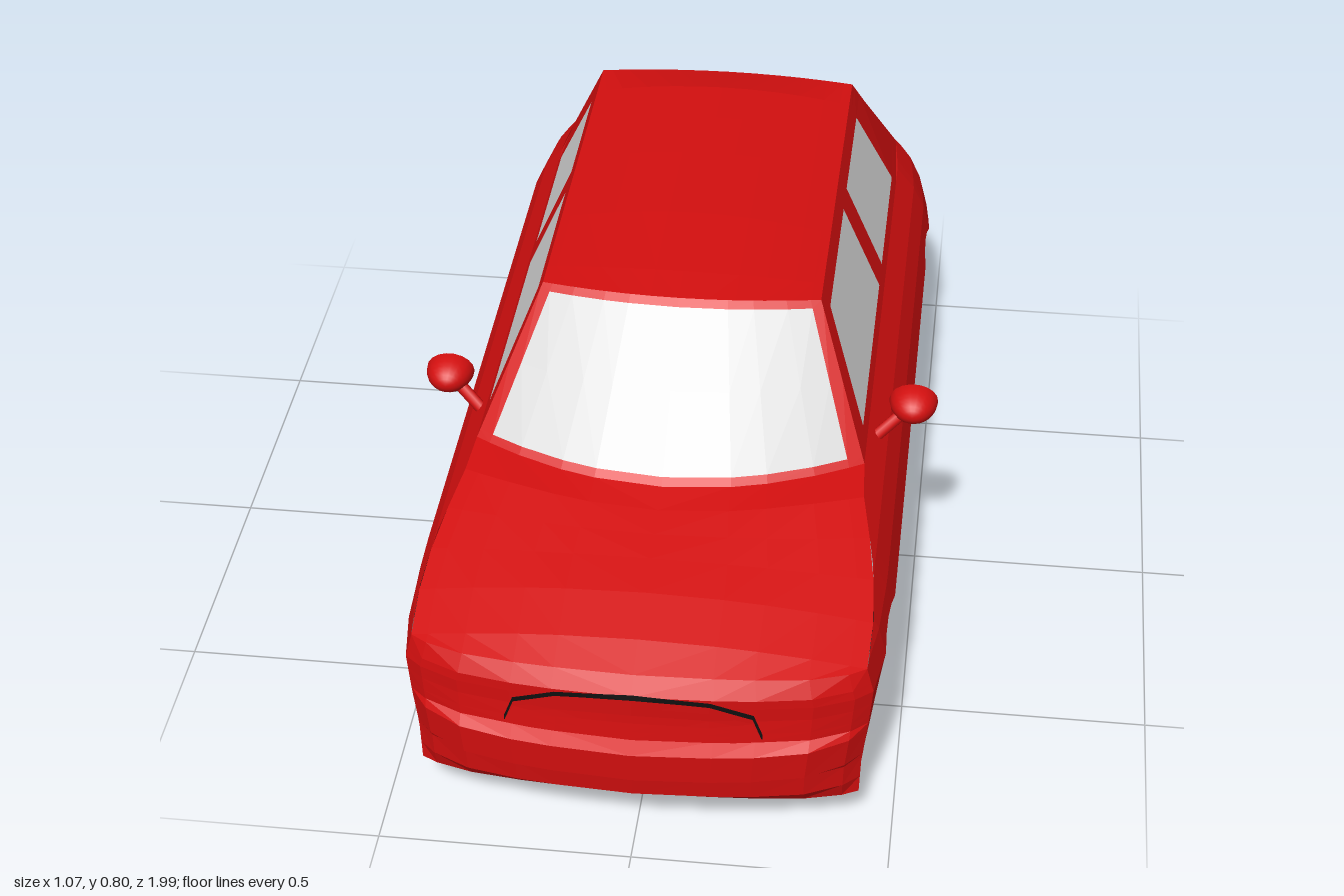
import * as THREE from 'three';

const paint = new THREE.MeshStandardMaterial({ color: 0xd40f0f, side: THREE.DoubleSide });
paint.name = 'red paint';
const grey = new THREE.MeshStandardMaterial({ color: 0xd8d8d8, side: THREE.DoubleSide });
grey.name = 'light grey';
const black = new THREE.MeshStandardMaterial({ color: 0x101010, side: THREE.DoubleSide });
black.name = 'black trim';

// Linear interpolation in a table of [key, value], keys ascending
function look(table, k) {
  if (k <= table[0][0]) return table[0][1];
  for (let i = 1; i < table.length; i++) {
    const [a, va] = table[i - 1], [b, vb] = table[i];
    if (k <= b) return va + (vb - va) * (k - a) / (b - a);
  }
  return table[table.length - 1][1];
}

// Body profiles: half width, nose and tail by height; narrowing along the length
const WIDTH = [[.1, .455], [.19, .458], [.27, .468], [.36, .476], [.42, .46], [.47, .435], [.52, .395]];
const NOSE = [[.1, .92], [.14, .965], [.19, .972], [.2, .992], [.265, .995], [.28, .962], [.33, .957], [.38, .958], [.42, .93]];
const TAIL = [[.18, -.96], [.2, -.975], [.3, -.995], [.345, -.945], [.5, -.957], [.52, -.945]];
const TAPER = [[-.9, .975], [-.8, 1], [.6, 1], [.75, .985], [.865, .95]];
const CREST = [[.36, .52], [.46, .512], [.66, .465], [.865, .415]];
const HOOD = [[.49, .525], [.757, .475], [.865, .445], [.93, .415]];
const FRONT = [[0, 1], [.33, .92], [.5, .84], [.72, .65], [.88, .3], [.95, 0]];
const REAR = [[.975, 0], [.965, .5], [.92, .95], [.5, 1], [0, 1]];
const LEVELS = [.1, .14, .19, .2, .265, .28, .3, .33, .345, .36, .38, .42, .47, .5, .52];

const nosePoint = (fx, g, y) => [look(WIDTH, y) * fx, y, .865 + (look(NOSE, y) - .865) * g];
const tailPoint = (fx, g, y) => [look(WIDTH, y) * fx, y, -.9 + (look(TAIL, y) + .9) * g];
const sidePoint = (z, y) => [look(WIDTH, y) * look(TAPER, z), y, z];

// Faceted skin through a grid of points, mirrored in x; pick(r, c) chooses cells
function skin(group, name, material, rows, pick = () => true, mirror = true) {
  const pos = [];
  const tri = (a, b, c) => {
    const [A, B, C] = [a, b, c].map(p => new THREE.Vector3(...p));
    if (B.clone().sub(A).cross(C.clone().sub(A)).length() < 1e-7) return;
    pos.push(...a, ...b, ...c);
    if (mirror) for (const p of [a, c, b]) pos.push(-p[0], p[1], p[2]);
  };
  for (let r = 0; r + 1 < rows.length; r++) {
    for (let c = 0; c + 1 < rows[r].length; c++) {
      if (!pick(r, c)) continue;
      const a = rows[r][c], b = rows[r][c + 1], d = rows[r + 1][c], e = rows[r + 1][c + 1];
      tri(a, b, e);
      tri(a, e, d);
    }
  }
  const geo = new THREE.BufferGeometry();
  geo.setAttribute('position', new THREE.Float32BufferAttribute(pos, 3));
  geo.computeVertexNormals();
  return add(group, name, geo, material);
}

function add(group, name, geo, material) {
  const mesh = new THREE.Mesh(geo, material);
  mesh.name = name;
  group.add(mesh);
  return mesh;
}

// Lower edge [z, y] running over a wheel arch, front to back
function arch(zc, r, y0, y1) {
  const pts = [[zc + r, y0]];
  for (let i = 0; i <= 14; i++) {
    const a = Math.PI * i / 14;
    pts.push([zc + r * Math.cos(a), .18 + .2 * Math.sin(a)]);
  }
  pts.push([zc - r, y1]);
  return pts;
}
const frontArch = arch(.6625, .2025, .105, .11);
const rearArch = arch(-.7075, .1925, .125, .2);

function buildLowerBody(g) {
  const columns = [
    ...FRONT.map(([fx, k]) => ({ at: y => nosePoint(fx, k, y), low: .12 - .02 * fx, top: .415 })),
    ...[...frontArch, [.36, .111], [-.1, .118], ...rearArch].map(([z, low]) =>
      ({ at: y => sidePoint(z, y), low, top: look(CREST, z) })),
    ...REAR.map(([fx, k]) => ({ at: y => tailPoint(fx, k, y), low: .2 - .02 * k, top: .52 })),
  ];
  const rows = LEVELS.map(l => columns.map(c => c.at(Math.min(Math.max(l, c.low), c.top))));
  skin(g, 'lowerBody', paint, rows);

  // Inner lips of the wheel arches
  for (const [name, edge, mat] of [['frontArchLining', frontArch, black], ['rearArchLining', rearArch, paint]]) {
    const outer = edge.map(([z, y]) => sidePoint(z, y).map((v, i) => i ? v : v - .002));
    skin(g, name, mat, [outer, outer.map(p => [.35, p[1], p[2]])]);
  }

  // Hood, bulging forward from the cowl, and its nose strip
  const section = z0 => FRONT.map(([fx]) => {
    const f = fx / .95, e = 1 - f * f;
    const [x, y] = sidePoint(z0, look(CREST, z0));
    const z = z0 + .13 * Math.max(0, (.7 - z0) / .34) * e;
    return [x * f, y + (look(HOOD, z) - y) * e, z];
  });
  const lip = FRONT.map(([fx, k]) => nosePoint(fx, k, .415));
  skin(g, 'hood', paint, [lip, ...[.865, .76, .66, .56, .46, .36].map(section)]);
  return section(.36);
}

function buildCabin(g, cowl) {
  const TOP = .285;
  const roofPoint = (z0, f) => {
    const e = 1 - f * f;
    const crown = look([[-.735, .1], [-.64, .85], [-.4, 1], [0, 1], [.15, .5]], z0);
    const bulge = look([[-.735, -.02], [-.64, 0], [.05, 0], [.15, .05]], z0);
    return [TOP * f, .768 + .032 * crown * e, z0 + bulge * e];
  };
  const blend = (pairs, steps) => steps.map(t => pairs.map(([a, b]) => a.map((v, i) => v + (b[i] - v) * t)));

  // Roof
  const across = [0, .2, .4, .6, .8, .93, 1];
  skin(g, 'roof', paint, [.15, .09, -.1, -.345, -.5, -.64, -.735].map(z => across.map(f => roofPoint(z, f))));

  // Sides: columns [z at belt, z at roof], with two windows
  const steps = [0, .09, .85, .95, 1];
  const sides = [[.36, .15], [.28, .085], [-.26, -.26], [-.345, -.345], [-.72, -.64], [-.9, -.735]]
    .map(([zb, zt]) => [sidePoint(Math.min(zb, .6), .52), roofPoint(zt, 1)]);
  const sideRows = blend(sides, steps);
  const isWindow = (r, c) => r === 1 && (c === 1 || c === 3);
  skin(g, 'cabinSides', paint, sideRows, (r, c) => !isWindow(r, c));
  skin(g, 'sideWindows', grey, sideRows, isWindow);

  // Windscreen and tailgate glass with their frames
  const screen = cowl.map((p, i) => {
    const f = FRONT[i][0] / .95;
    return [p, roofPoint(.15, f)];
  });
  const tail = REAR.map(([fx, k]) => [tailPoint(fx, k, .52), roofPoint(-.735, fx / .975)]);
  const parts = [
    ['windscreen', screen, (r, c) => (r === 1 || r === 2) && c < 4, [0, .05, .5, .95, 1]],
    ['rearWindow', tail, (r, c) => (r === 1 || r === 2) && c > 1, [0, .08, .5, .95, 1]],
  ];
  for (const [name, pairs, isGlass, t] of parts) {
    const rows = blend(pairs, t);
    skin(g, name, grey, rows, isGlass);
    skin(g, name + 'Frame', paint, rows, (r, c) => !isGlass(r, c));
  }
}

// Trapezoid panel lying on the nose or the tail, with a dark edge
function buildPanel(g, name, upper, lower, halfWidth, surface, sign) {
  for (const [part, mat, off, grow] of [['Edge', black, .003, .007], ['Panel', paint, .007, 0]]) {
    const rows = [0, .2, .4, .6, .8, 1].map(t => [0, .2, .4, .6, .8, .93, 1].map(s => {
      const x = s * halfWidth, lo = look(lower, x) - grow * .3, hi = look(upper, x) + grow;
      const y = lo + (hi - lo) * t;
      return [x * (1 + grow), y, surface(x, y) + sign * off];
    }));
    skin(g, name + part, mat, rows);
  }
}

function buildMirror(side) {
  const m = new THREE.Group();
  m.name = side > 0 ? 'leftMirror' : 'rightMirror';
  const dome = new THREE.SphereGeometry(1, 18, 8, 0, Math.PI * 2, 0, Math.PI / 2);
  dome.rotateX(Math.PI / 2).scale(.05, .039, .066).translate(side * .483, .548, .168);
  add(m, 'mirrorShell', dome, paint);
  const glass = new THREE.CircleGeometry(1, 18);
  glass.rotateY(Math.PI).scale(.049, .038, 1).translate(side * .483, .548, .168);
  add(m, 'mirrorGlass', glass, grey);
  const path = new THREE.LineCurve3(new THREE.Vector3(side * .405, .485, .225), new THREE.Vector3(side * .465, .535, .195));
  add(m, 'mirrorStem', new THREE.TubeGeometry(path, 1, .013, 8), paint);
  return m;
}

function buildWheel() {
  const w = new THREE.Group();
  w.name = 'rearLeftWheel';
  // Tyre and rim in one turned profile, axle along y before turning
  const profile = [[.11, -.05], [.155, -.05], [.17, -.038], [.175, -.015], [.175, .015], [.17, .038],
    [.155, .05], [.118, .05], [.108, .04], [.105, -.03], [.11, -.05]].map(p => new THREE.Vector2(...p));
  add(w, 'tyre', new THREE.LatheGeometry(profile, 22), grey);
  add(w, 'hub', new THREE.CylinderGeometry(.038, .042, .05, 16).translate(0, .012, 0), grey);
  for (let i = 0; i < 5; i++) {
    const spoke = new THREE.BoxGeometry(.024, .02, .08).translate(0, .02, .07);
    add(w, 'spoke', spoke.rotateY(i * Math.PI * 2 / 5), grey);
  }
  w.rotation.z = -Math.PI / 2;
  w.position.set(.405, .177, -.71);
  return w;
}

export function createModel() {
  const car = new THREE.Group();
  car.name = 'car';
  const cowl = buildLowerBody(car);
  buildCabin(car, cowl);

  const noseZ = (x, y) => nosePoint(0, look(FRONT, x / look(WIDTH, y)), y)[2];
  buildPanel(car, 'grille', [[0, .378], [.145, .37], [.23, .34], [.247, .293]],
    [[0, .282], [.225, .284], [.247, .292]], .247, noseZ, 1);
  buildPanel(car, 'tailgate', [[0, .455], [.12, .45], [.18, .43]], [[0, .38], [.18, .385]], .18,
    (x, y) => look(TAIL, y), -1);

  car.add(buildMirror(1), buildMirror(-1), buildWheel());
  return car;
}
